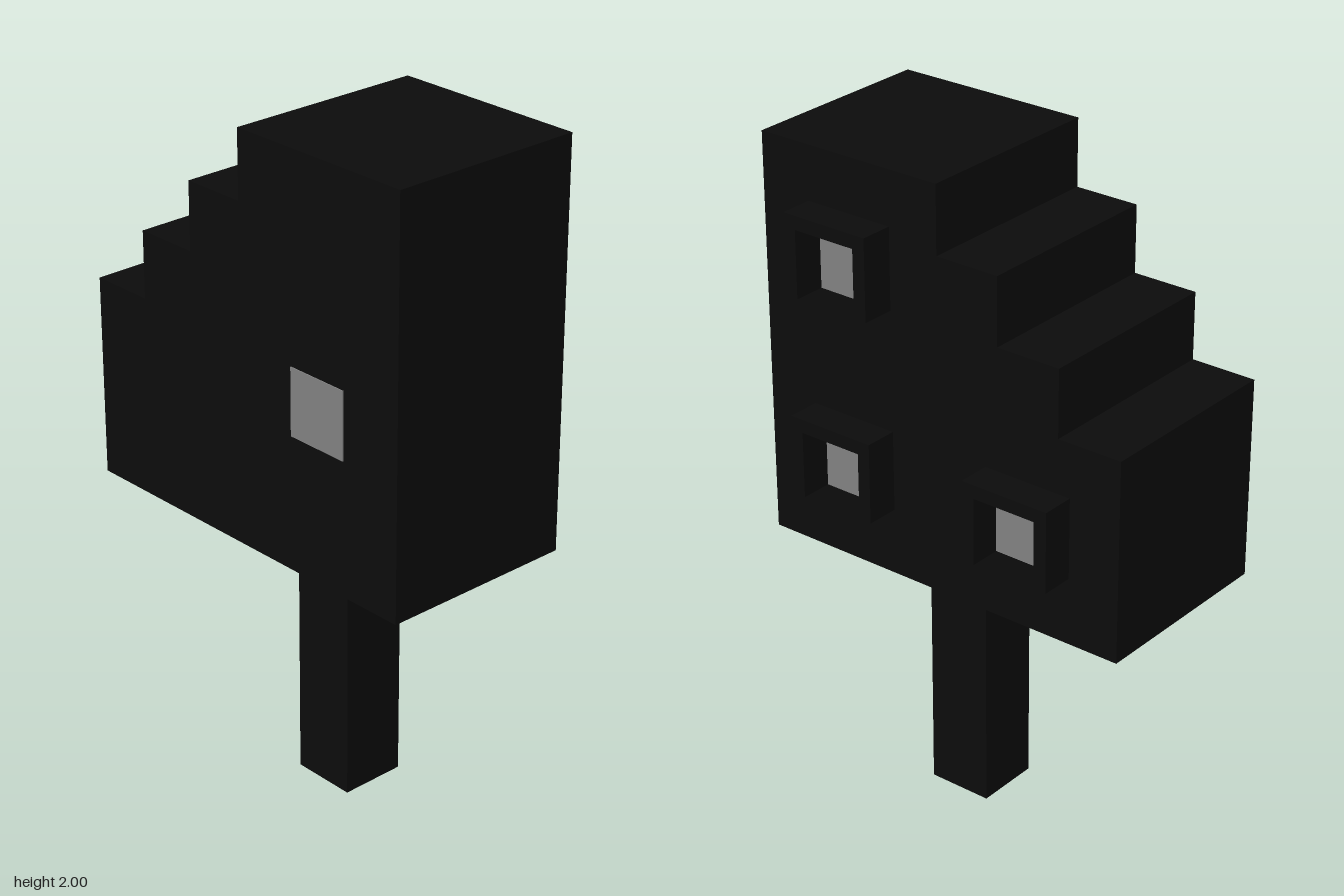
import * as THREE from 'three';

const black = new THREE.MeshStandardMaterial({ color: 0x0b0b0b });
black.name = 'black';
const grey = new THREE.MeshStandardMaterial({ color: 0x808080 });
grey.name = 'grey';

// Box given by its minimum and maximum corners
function box(name, min, max, material) {
  const size = max.map((v, i) => v - min[i]);
  const mesh = new THREE.Mesh(new THREE.BoxGeometry(...size), material);
  mesh.position.set(...max.map((v, i) => (v + min[i]) / 2));
  mesh.name = name;
  return mesh;
}

// Grey panel under a three-sided hood that is open at the bottom
function hoodedPanel(name, x, y) {
  const group = new THREE.Group();
  group.name = name;
  group.position.set(x, y, -0.25);
  group.add(box('panel', [-0.1, 0, -0.004], [0.1, 0.2, 0], grey));
  for (const side of [-1, 1]) {
    const cx = side * 0.12;
    group.add(box('hoodSide', [cx - 0.02, 0, -0.1], [cx + 0.02, 0.2, 0], black));
  }
  group.add(box('hoodTop', [-0.14, 0.2, -0.1], [0.14, 0.24, 0], black));
  return group;
}

export function createModel() {
  const model = new THREE.Group();
  model.name = 'model';

  // Body with a stepped left-hand outline
  const outline = new THREE.Shape();
  outline.moveTo(-0.6, 0.8);
  outline.lineTo(0.6, 0.8);
  outline.lineTo(0.6, 2);
  for (let i = 0; i < 4; i++) {
    const x = -0.2 * i;
    const y = 2 - 0.2 * i;
    outline.lineTo(x, y);
    if (i < 3) outline.lineTo(x, y - 0.2);
  }
  const body = new THREE.Mesh(
    new THREE.ExtrudeGeometry(outline, { depth: 0.6, bevelEnabled: false }), black);
  body.position.z = -0.25;
  body.name = 'body';
  model.add(body);

  // Handle with a thin strip at the top of its back
  model.add(box('handle', [0, 0, -0.05], [0.2, 0.8, 0.15], black));
  model.add(box('handleStrip', [0, 0.76, -0.054], [0.2, 0.8, -0.05], grey));

  // Front panel
  model.add(box('frontPanel', [0.2, 1.2, 0.35], [0.4, 1.4, 0.353], grey));

  // Hooded panels on the back
  model.add(hoodedPanel('upperLeftPanel', 0.3, 1.6));
  model.add(hoodedPanel('lowerLeftPanel', 0.3, 1));
  model.add(hoodedPanel('lowerRightPanel', -0.3, 1));

  return model;
}
